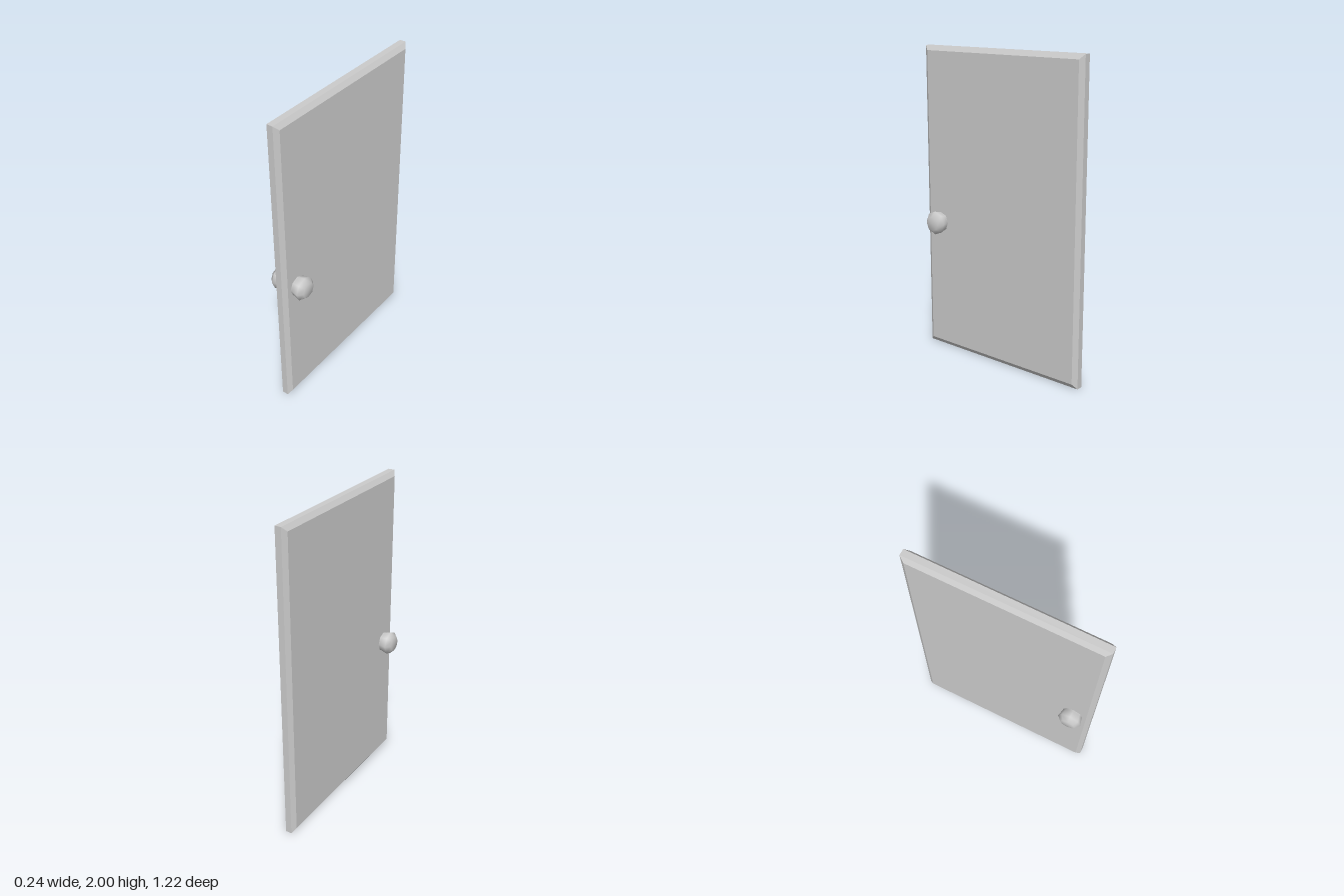
import * as THREE from 'three';

const material = new THREE.MeshStandardMaterial({ color: 0xcccccc });

// Flat slab with a single mitred chamfer around both faces
function makePanel() {
  const halfWidth = 0.61, height = 2, core = 0.04;
  const outline = new THREE.Shape([
    new THREE.Vector2(-halfWidth, 0),
    new THREE.Vector2(halfWidth, 0),
    new THREE.Vector2(halfWidth, height),
    new THREE.Vector2(-halfWidth, height),
  ]);
  const geometry = new THREE.ExtrudeGeometry(outline, {
    depth: core,
    bevelEnabled: true,
    bevelSegments: 1,
    bevelThickness: 0.02,
    bevelSize: 0.03,
    bevelOffset: -0.03,
  });
  geometry.translate(0, 0, -core / 2);
  geometry.rotateY(Math.PI / 2);
  const panel = new THREE.Mesh(geometry, material);
  panel.name = 'doorPanel';
  return panel;
}

// Eight-sided turned knob, smooth shaded, pointing out along side * x
function makeKnob(side) {
  const profile = [
    [0.065, 0.02], [0.065, 0.05], [0.077, 0.093], [0.048, 0.122], [0, 0.122],
  ].map(([r, h]) => new THREE.Vector2(r, h));
  const geometry = new THREE.LatheGeometry(profile, 8);
  geometry.rotateZ(-side * Math.PI / 2);
  const knob = new THREE.Mesh(geometry, material);
  knob.name = side > 0 ? 'leftKnob' : 'rightKnob';
  knob.position.set(0, 0.865, 0.49);
  return knob;
}

export function createModel() {
  const door = new THREE.Group();
  door.name = 'door';
  door.add(makePanel(), makeKnob(1), makeKnob(-1));
  return door;
}
